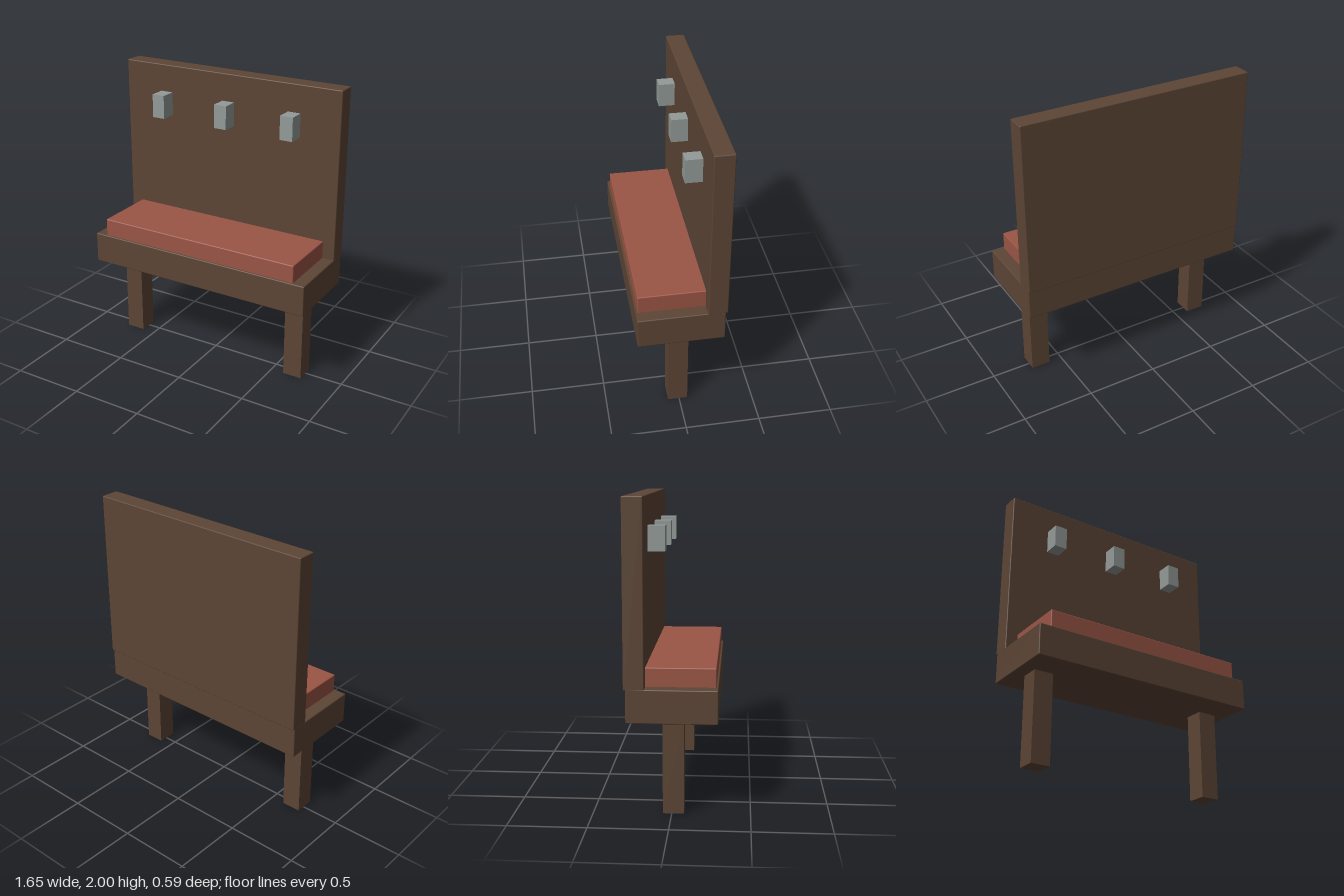
import * as THREE from 'three';
import { RoundedBoxGeometry } from 'three/addons/geometries/RoundedBoxGeometry.js';

const material = (name, color) => {
  const m = new THREE.MeshStandardMaterial({ color });
  m.name = name;
  return m;
};

export function createModel() {
  const model = new THREE.Group();
  model.name = 'wallBench';
  const wood = material('darkWood', 0x5c4535);
  const fabric = material('redFabric', 0x9a5545);
  const metal = material('greyMetal', 0x929a97);

  // Box between two corners, with an optional small edge bevel
  function addBox(name, mat, [x0, y0, z0], [x1, y1, z1], bevel = 0) {
    const size = [x1 - x0, y1 - y0, z1 - z0];
    const geometry = bevel
      ? new RoundedBoxGeometry(...size, 2, bevel)
      : new THREE.BoxGeometry(...size);
    const mesh = new THREE.Mesh(geometry, mat);
    mesh.name = name;
    mesh.position.set((x0 + x1) / 2, (y0 + y1) / 2, (z0 + z1) / 2);
    model.add(mesh);
  }

  // Seat base, tall back panel and cushion
  addBox('seatBase', wood, [-0.825, 0.612, -0.28], [0.825, 0.828, 0.293], 0.007);
  addBox('backPanel', wood, [-0.825, 0.82, -0.293], [0.825, 2, -0.163], 0.007);
  addBox('cushion', fabric, [-0.74, 0.82, -0.17], [0.74, 0.95, 0.28], 0.007);

  // Two square legs
  for (const [name, x] of [['rightLeg', -0.664], ['leftLeg', 0.66]]) {
    addBox(name, wood, [x - 0.067, 0, -0.057], [x + 0.067, 0.62, 0.077]);
  }

  // Three coat pegs on the back panel
  for (const [name, x] of [['rightPeg', -0.497], ['middlePeg', -0.002], ['leftPeg', 0.493]]) {
    addBox(name, metal, [x - 0.046, 1.647, -0.17], [x + 0.046, 1.81, -0.052]);
  }
  return model;
}
